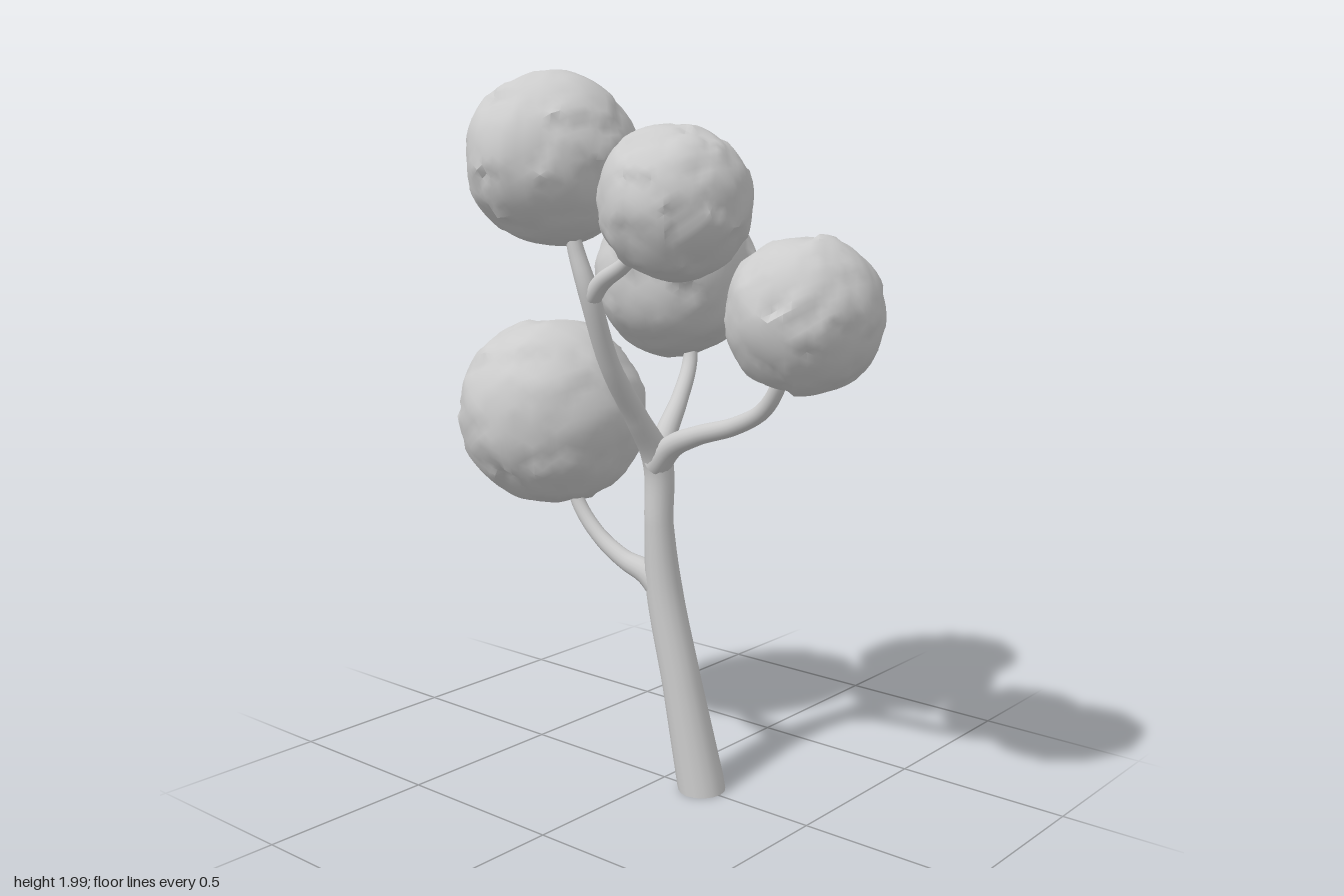
import * as THREE from 'three';
import { mergeVertices, toCreasedNormals } from 'three/addons/utils/BufferGeometryUtils.js';

const material = new THREE.MeshStandardMaterial({ color: 0xcccccc, side: THREE.DoubleSide });

function seeded(seed) {
  let s = seed;
  return () => (s = (s * 16807) % 2147483647) / 2147483647;
}

// Tapered limb through points given as [x, y, z, radius]
function limb(name, points, segments = 32) {
  const curve = new THREE.CatmullRomCurve3(points.map(p => new THREE.Vector3(p[0], p[1], p[2])));
  const sides = 16;
  const geometry = new THREE.TubeGeometry(curve, segments, 1, sides);
  const pos = geometry.attributes.position;
  const v = new THREE.Vector3();
  for (let i = 0; i <= segments; i++) {
    const u = i / segments;
    const centre = curve.getPointAt(u);
    const f = curve.getUtoTmapping(u) * (points.length - 1);
    const k = Math.min(Math.floor(f), points.length - 2);
    const radius = THREE.MathUtils.lerp(points[k][3], points[k + 1][3], f - k);
    for (let j = 0; j <= sides; j++) {
      const n = i * (sides + 1) + j;
      v.fromBufferAttribute(pos, n).sub(centre).multiplyScalar(radius).add(centre);
      // keep the bottom of the trunk level with the ground
      pos.setXYZ(n, v.x, i === 0 && points[0][1] === 0 ? 0 : Math.max(v.y, 0), v.z);
    }
  }
  const mesh = new THREE.Mesh(geometry, material);
  mesh.name = name;
  return mesh;
}

// Ball of leaves: a sphere broken into slightly tilted, overlapping plates
function foliage(name, x, y, z, radius, seed) {
  const random = seeded(seed);
  const unit = () => new THREE.Vector3(random() - 0.5, random() - 0.5, random() - 0.5).normalize();
  const plates = Array.from({ length: 85 }, () => ({ dir: unit(), tilt: unit(), lift: (random() - 0.5) * 0.035 }));

  let geometry = new THREE.IcosahedronGeometry(1, 11);
  geometry.deleteAttribute('normal');
  geometry.deleteAttribute('uv');
  geometry = mergeVertices(geometry);
  const pos = geometry.attributes.position;
  const v = new THREE.Vector3();
  const d = new THREE.Vector3();
  for (let i = 0; i < pos.count; i++) {
    v.fromBufferAttribute(pos, i).normalize();
    let best = plates[0];
    for (const p of plates) if (p.dir.dot(v) > best.dir.dot(v)) best = p;
    const slope = d.subVectors(v, best.dir).dot(best.tilt);
    const swell = 0.008 * Math.sin(5 * v.x + seed) * Math.cos(6 * v.y + 4 * v.z);
    const r = radius * (0.98 + best.lift + 0.1 * slope + swell);
    pos.setXYZ(i, v.x * r, v.y * r, v.z * r);
  }
  const mesh = new THREE.Mesh(toCreasedNormals(geometry, 0.75), material);
  mesh.position.set(x, y, z);
  mesh.name = name;
  return mesh;
}

export function createModel() {
  const tree = new THREE.Group();
  tree.name = 'tree';

  // Leaning trunk that carries on as the front limb
  tree.add(limb('trunk', [
    [0.135, 0, -0.005, 0.068], [0.06, 0.3, -0.005, 0.056], [-0.005, 0.56, -0.005, 0.052],
    [-0.025, 0.75, -0.005, 0.041], [-0.03, 0.93, -0.005, 0.043], [-0.04, 1.06, 0.07, 0.033],
    [-0.045, 1.22, 0.175, 0.028], [-0.05, 1.42, 0.25, 0.028], [-0.085, 1.53, 0.26, 0.022],
    [-0.12, 1.66, 0.26, 0.016]], 64));

  // Side branches
  tree.add(
    limb('lowerRightBranch', [
      [0, 0.56, 0, 0.045], [-0.06, 0.6, 0, 0.037], [-0.15, 0.625, 0, 0.028],
      [-0.25, 0.68, 0, 0.023], [-0.33, 0.765, 0, 0.021], [-0.37, 0.87, 0, 0.016]]),
    limb('leftBranch', [
      [-0.03, 0.92, 0, 0.04], [0.03, 0.98, 0.005, 0.033], [0.13, 1.025, 0.015, 0.027],
      [0.27, 1.07, 0.03, 0.024], [0.37, 1.125, 0.04, 0.022], [0.43, 1.21, 0.05, 0.02],
      [0.46, 1.31, 0.055, 0.015]]),
    limb('backBranch', [
      [-0.028, 0.92, 0, 0.038], [-0.045, 1, -0.06, 0.032], [-0.08, 1.08, -0.16, 0.025],
      [-0.115, 1.18, -0.25, 0.022], [-0.14, 1.32, -0.28, 0.016]]),
    limb('upperLeftBranch', [
      [-0.048, 1.4, 0.245, 0.027], [0, 1.45, 0.25, 0.024], [0.08, 1.5, 0.25, 0.02],
      [0.18, 1.6, 0.25, 0.016]]));

  // Leaf balls
  tree.add(
    foliage('topFoliage', -0.165, 1.762, 0.262, 0.232, 11),
    foliage('upperLeftFoliage', 0.247, 1.658, 0.25, 0.197, 23),
    foliage('leftFoliage', 0.503, 1.382, 0.055, 0.205, 37),
    foliage('backFoliage', -0.168, 1.43, -0.25, 0.242, 51),
    foliage('lowerRightFoliage', -0.435, 1.028, -0.003, 0.28, 73));
  return tree;
}
